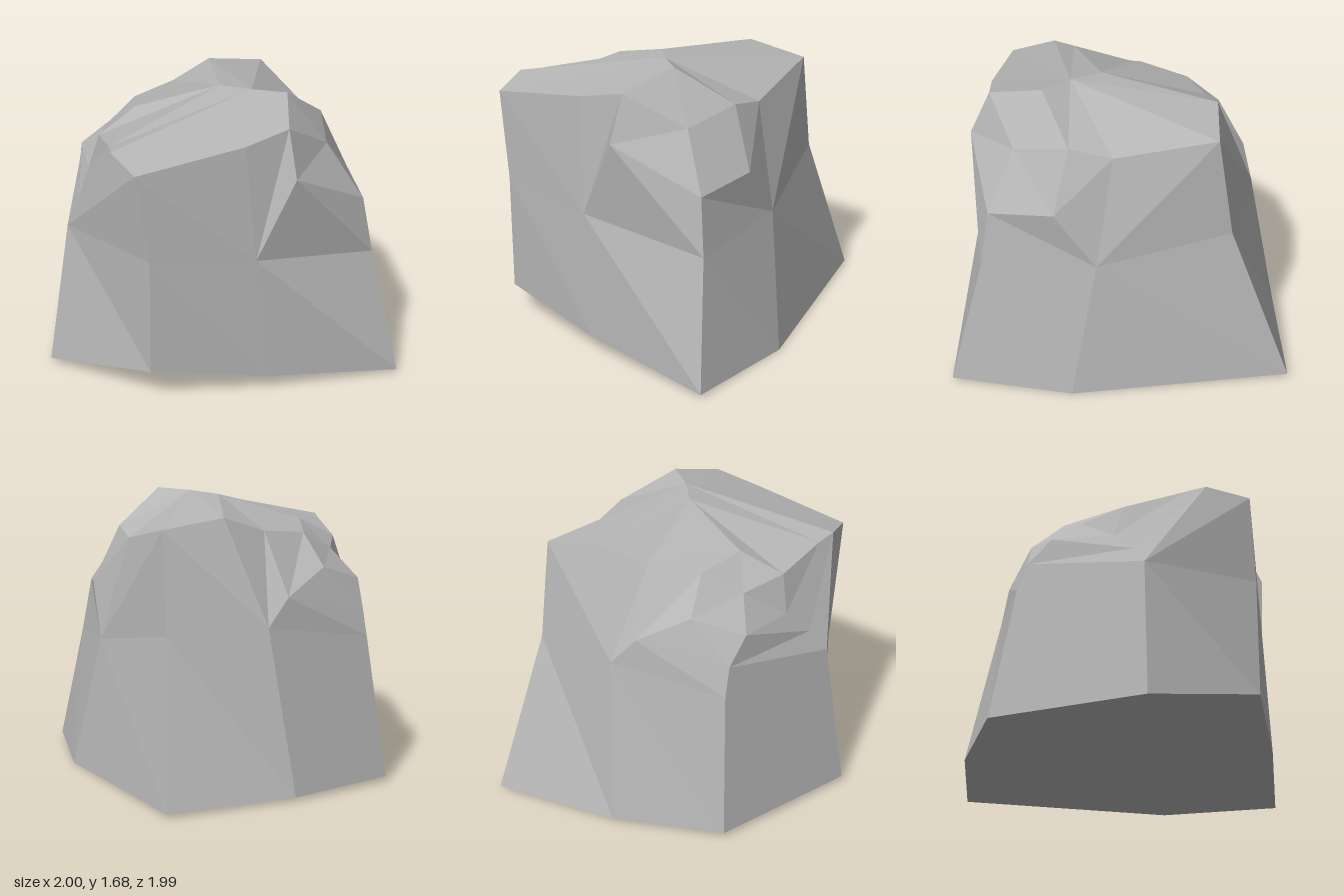
import * as THREE from 'three';

export function createModel() {
  const stone = new THREE.MeshStandardMaterial({ color: 0xb4b4b4 });
  stone.name = 'stoneGrey';
  stone.flatShading = true;

  const positions = [];
  const quad = (a, b, c, d) => positions.push(...a, ...b, ...d, ...b, ...c, ...d);

  // Wall of quads between two closed cross-sections
  const skirt = (outer, inner) => outer.forEach((p, i) => {
    const j = (i + 1) % outer.length;
    quad(p, outer[j], inner[j], inner[i]);
  });
  // Three quads closing a six-sided ring onto a corner point
  const cap = (r, tip) => {
    for (let i = 0; i < 6; i += 2) quad(r[i], r[i + 1], r[(i + 2) % 6], tip);
  };

  // Cross-sections, running from front centre to the front left corner (+x) and on round
  const foot = [
    [0.1, 0.1, 0.9], [0.91, 0.02, 0.99], [1, 0, 0.27], [0.78, 0.02, -1],
    [0, 0.02, -0.94], [-0.65, 0.03, -0.75], [-1, 0.03, 0.13], [-0.58, 0.2, 0.77],
  ];
  const waist = [
    [0.03, 0.85, 0.86], [0.8, 0.75, 0.8], [0.85, 0.8, 0.13], [0.667, 0.935, -0.64],
    [0.1, 0.97, -0.76], [-0.575, 0.86, -0.615], [-0.86, 0.9, 0.12], [-0.58, 0.91, 0.775],
  ];
  // Midpoints of the top rim: front, +x side, back, -x side
  const rim = [[-0.02, 1.53, 0.8], [0.69, 1.42, 0.04], [0.29, 1.58, -0.54], [-0.7, 1.48, 0.49]];
  const summit = [0.22, 1.67, 0.31];

  // Underside and lower wall
  const base = [0.08, 0.12, -0.06];
  foot.forEach((p, i) => positions.push(...foot[(i + 1) % 8], ...p, ...base));
  skirt(foot, waist);

  // Four upper corners: each has zero or more chipped rings and a tip
  const corners = [
    { // front, +x: one chip
      rings: [[
        [0.25, 1.59, 0.78], [0.25, 1.33, 0.9], [0.75, 1.08, 0.75],
        [0.83, 1.12, 0.37], [0.68, 1.47, 0.29], [0.38, 1.68, 0.46],
      ]],
      tip: [0.57, 1.4, 0.61],
    },
    { rings: [], tip: [0.655, 1.525, -0.55] }, // back, +x
    { // back, -x: chipped twice
      rings: [[
        [0.02, 1.49, -0.47], [-0.04, 1.13, -0.71], [-0.57, 1.03, -0.56],
        [-0.77, 1.03, 0.06], [-0.67, 1.46, 0.36], [0.09, 1.655, 0.14],
      ], [
        [-0.27, 1.46, -0.36], [-0.32, 1.275, -0.56], [-0.6, 1.18, -0.42],
        [-0.67, 1.17, -0.055], [-0.615, 1.39, 0], [-0.365, 1.51, -0.07],
      ]],
      tip: [-0.49, 1.345, -0.255],
    },
    { rings: [], tip: [-0.65, 1.43, 0.75] }, // front, -x
  ];
  corners.forEach(({ rings, tip }, k) => {
    let outer = [
      rim[k], waist[2 * k], waist[2 * k + 1],
      waist[(2 * k + 2) % 8], rim[(k + 1) % 4], summit,
    ];
    for (const ring of rings) {
      skirt(outer, ring);
      outer = ring;
    }
    cap(outer, tip);
  });

  const geometry = new THREE.BufferGeometry();
  geometry.setAttribute('position', new THREE.Float32BufferAttribute(positions, 3));
  geometry.computeVertexNormals();

  const boulder = new THREE.Mesh(geometry, stone);
  boulder.name = 'boulder';
  const group = new THREE.Group();
  group.name = 'rock';
  group.add(boulder);
  return group;
}
